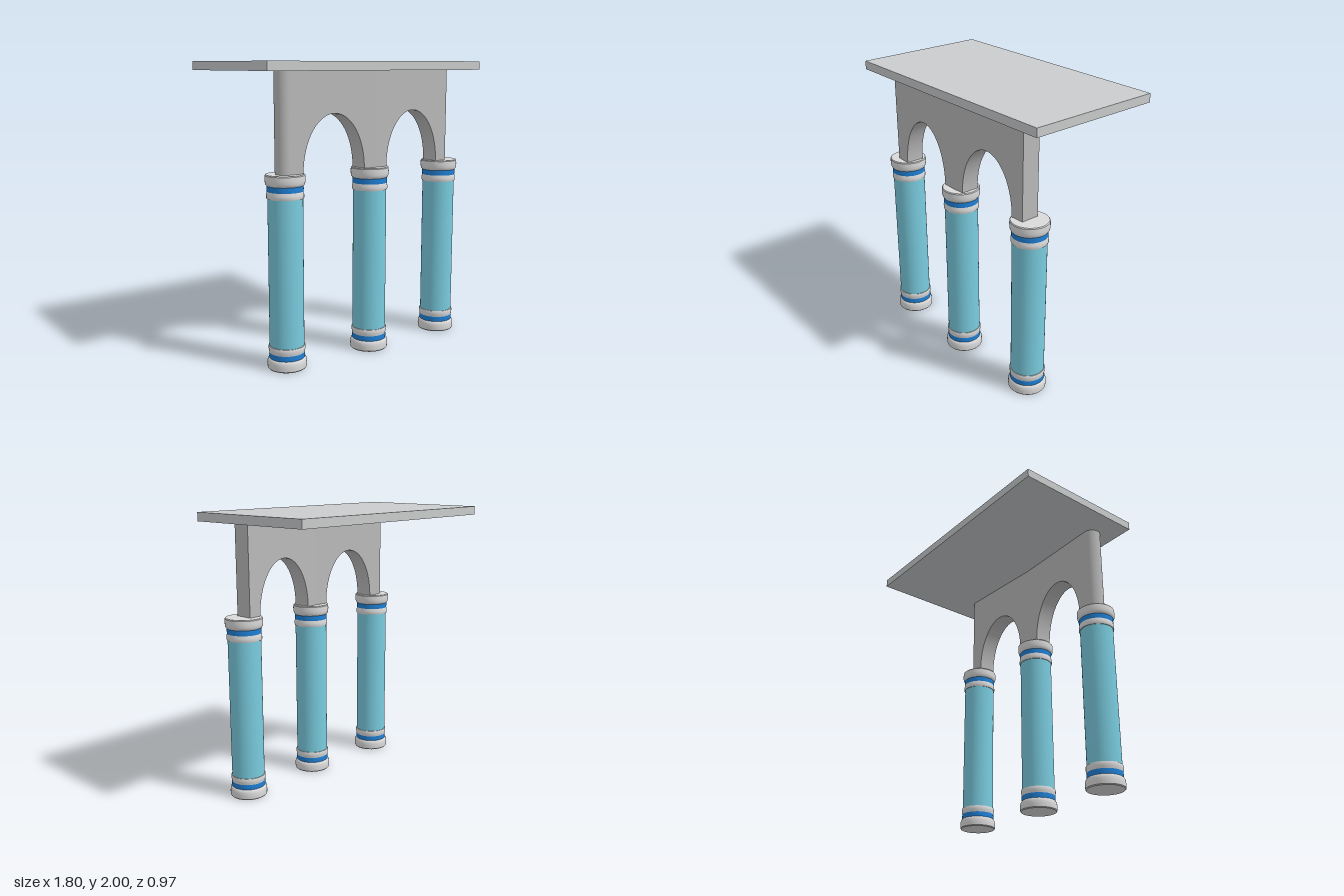
import * as THREE from 'three';
import { toCreasedNormals } from 'three/addons/utils/BufferGeometryUtils.js';

const material = (name, color) => {
  const m = new THREE.MeshStandardMaterial({ color });
  m.name = name;
  return m;
};

export function createModel() {
  const roofGrey = material('roof grey', 0xcacccd);
  const wallGrey = material('wall grey', 0xbababa);
  const stone = material('pale stone', 0xdadada);
  const shaftBlue = material('shaft turquoise', 0x7accdf);
  const bandBlue = material('band blue', 0x1f80d6);

  const model = new THREE.Group();
  model.name = 'arcade';
  const SPAN = 0.675, COLUMN_TOP = 1.29, WALL_TOP = 1.94, HALF = 0.065;
  // the row of columns bows slightly forward in the middle
  const rowZ = (x) => 0.34 - 0.025 * Math.abs(x) / SPAN;

  const add = (parent, name, geometry, mat) => {
    const mesh = new THREE.Mesh(geometry, mat);
    mesh.name = name;
    parent.add(mesh);
    return mesh;
  };
  const lathe = (points) => toCreasedNormals(
    new THREE.LatheGeometry(points.map(([r, y]) => new THREE.Vector2(r, y)), 40), 0.6);

  // roof slab
  add(model, 'roofSlab', new THREE.BoxGeometry(1.8, 0.06, 0.97), roofGrey).position.y = 1.97;

  // column pieces: the foot is reused upside down as the capital
  const foot = lathe([[0, 0], [0.125, 0], [0.13, 0.006], [0.131, 0.03], [0.13, 0.05],
    [0.127, 0.062], [0.122, 0.07], [0.117, 0.074], [0, 0.074]]);
  const band = lathe([[0.118, 0.07], [0.119, 0.09], [0.118, 0.111]]);
  const collar = lathe([[0.114, 0.109], [0.118, 0.109], [0.12, 0.12], [0.122, 0.13],
    [0.122, 0.15], [0.12, 0.155], [0.113, 0.155]]);
  const shaft = new THREE.CylinderGeometry(0.115, 0.115, 0.99, 40, 1, true);

  const columnEnd = (name) => {
    const end = new THREE.Group();
    end.name = name;
    add(end, 'footRing', foot, stone);
    add(end, 'blueBand', band, bandBlue);
    add(end, 'collar', collar, stone);
    return end;
  };

  for (const x of [-SPAN, 0, SPAN]) {
    const column = new THREE.Group();
    column.name = 'column';
    column.position.set(x, 0, rowZ(x));
    const capital = columnEnd('capital');
    capital.rotation.x = Math.PI;
    capital.position.y = COLUMN_TOP;
    column.add(columnEnd('base'), capital);
    add(column, 'shaft', shaft, shaftBlue).position.y = COLUMN_TOP / 2;
    model.add(column);
  }

  // one arched wall panel per bay, sheared to follow the row
  for (const side of [-1, 1]) {
    const x0 = side < 0 ? -SPAN : 0, x1 = x0 + SPAN, mid = (x0 + x1) / 2;
    const shape = new THREE.Shape();
    shape.moveTo(x0, COLUMN_TOP);
    shape.lineTo(mid - 0.241, COLUMN_TOP);
    shape.absellipse(mid, COLUMN_TOP, 0.241, 0.376, Math.PI, 0, true);
    shape.lineTo(x1, COLUMN_TOP);
    shape.lineTo(x1, WALL_TOP);
    shape.lineTo(x0, WALL_TOP);
    shape.closePath();
    const geometry = new THREE.ExtrudeGeometry(shape,
      { depth: 2 * HALF, bevelEnabled: false, curveSegments: 40 });
    const p = geometry.attributes.position;
    for (let i = 0; i < p.count; i++) p.setZ(i, p.getZ(i) - HALF + rowZ(p.getX(i)));
    add(model, 'archWall', toCreasedNormals(geometry, 0.5), wallGrey);
  }

  // rounded end of the wall above the outer column
  const roundEnd = new THREE.CylinderGeometry(HALF, HALF, WALL_TOP - COLUMN_TOP, 20, 1, false, Math.PI, Math.PI);
  add(model, 'roundedWallEnd', roundEnd, wallGrey)
    .position.set(-SPAN, (WALL_TOP + COLUMN_TOP) / 2, rowZ(SPAN));

  return model;
}
